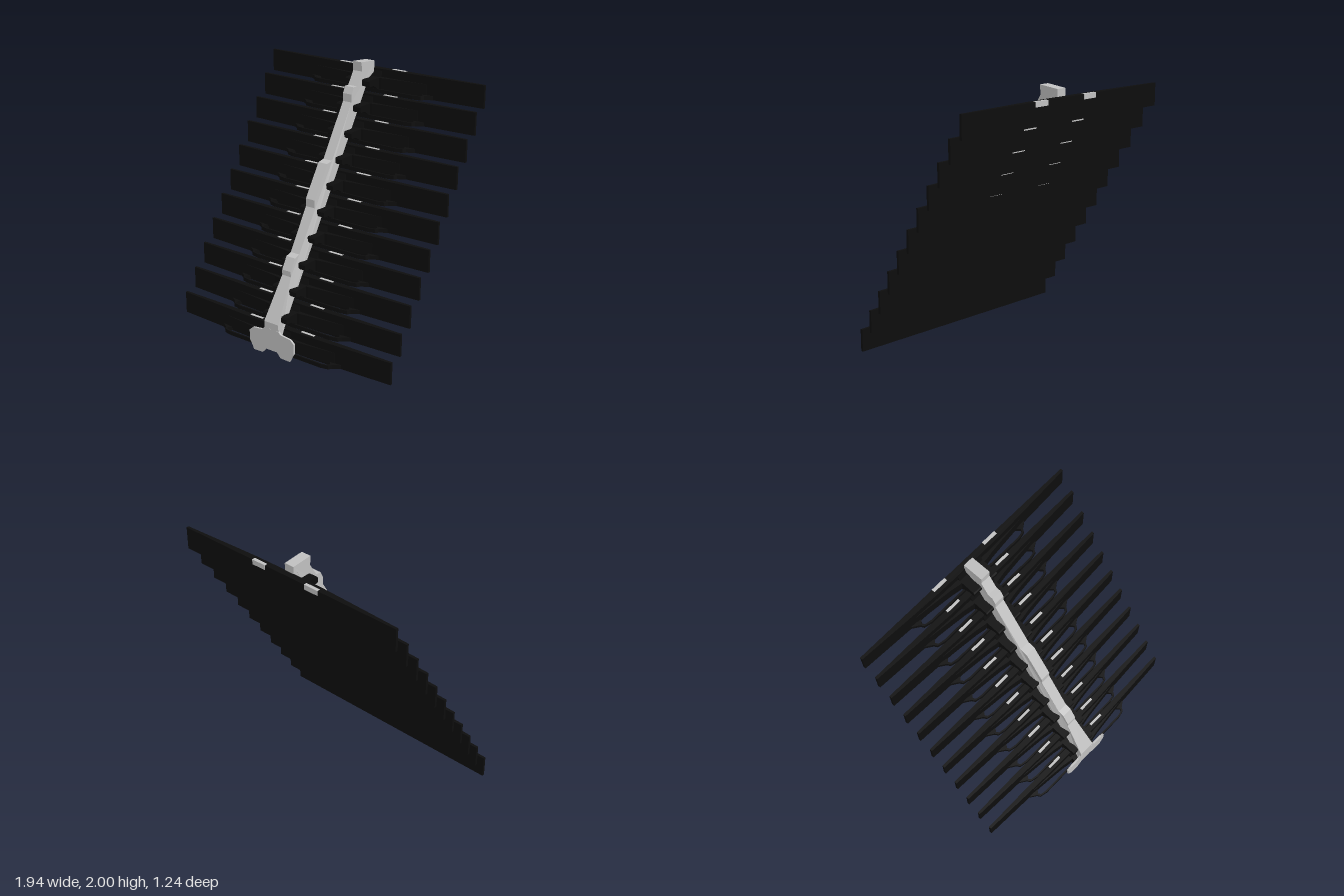
import * as THREE from 'three';

const ROWS = 11, STEP_Y = 0.1732, STEP_Z = -0.11;

export function createModel() {
  const black = new THREE.MeshStandardMaterial({ color: 0x0d0d0d });
  black.name = 'matte black';
  const grey = new THREE.MeshStandardMaterial({ color: 0xc0c0c0 });
  grey.name = 'light grey';

  const model = new THREE.Group();
  const add = (parent, name, geometry, material) => {
    const mesh = new THREE.Mesh(geometry, material);
    mesh.name = name;
    parent.add(mesh);
    return mesh;
  };
  const extrude = (points, depth) => new THREE.ExtrudeGeometry(
    new THREE.Shape(points.map(([a, b]) => new THREE.Vector2(a, b))),
    { depth, bevelEnabled: false });
  // Side outline given as [z, y], extruded across x and centred
  const sideExtrude = (points, width) =>
    extrude(points.map(([z, y]) => [-z, y]), width).translate(0, 0, -width / 2).rotateY(Math.PI / 2);
  // Plan outline given as [x, z], extruded upwards from y0 to y1
  const planExtrude = (points, y0, y1) =>
    extrude(points.map(([x, z]) => [x, -z]), y1 - y0).rotateX(-Math.PI / 2).translate(0, y0, 0);
  const mirrored = (points) => [...points, ...points.map(([x, y]) => [-x, y]).reverse()];

  // Leaning spine with stepped ridges, flared towards the foot
  const spineGeo = sideExtrude([
    [0.62, 0.1], [0.62, 0.26], [0.44, 0.57], [0.44, 0.61], [0.39, 0.7], [0.34, 0.715],
    [0.16, 1.02], [0.16, 1.08], [0.01, 1.32], [-0.05, 1.33], [-0.285, 1.72], [-0.285, 1.78],
    [-0.31, 1.83], [-0.35, 1.83], [-0.41, 1.93], [-0.405, 2], [-0.57, 1.985], [-0.57, 1.9],
    [-0.5, 1.87], [0.328, 0.57], [0.525, 0.26], [0.6, 0.12],
  ], 0.08);
  const p = spineGeo.attributes.position;
  for (let i = 0; i < p.count; i++) {
    const t = THREE.MathUtils.clamp((0.57 - p.getY(i)) / 0.35, 0, 1);
    p.setX(i, p.getX(i) * (1 + 0.72 * t));
  }
  spineGeo.computeVertexNormals();
  add(model, 'spine', spineGeo, grey);

  // Thin foot plate
  const foot = extrude(mirrored([
    [0.05, 0.04], [0.085, 0.003], [0.17, 0], [0.185, 0.035], [0.208, 0.07], [0.208, 0.15],
    [0.175, 0.178], [0.09, 0.187], [0.065, 0.21],
  ]), 0.016).translate(0, 0, 0.605);
  add(model, 'footPlate', foot, grey);

  // Shared geometries of one slat; z = 0 is its back
  const slatGeo = planExtrude(mirrored([
    [0.97, 0], [0.97, 0.02], [0.5, 0.042], [0.3, 0.05], [0.12, 0.052],
  ]), 0, 0.17);
  const wingGeo = planExtrude(mirrored([
    [0.58, 0.01], [0.5, 0.044], [0.3, 0.064], [0.2, 0.075], [0.13, 0.088],
  ]), 0.02, 0.11);
  const clampGeo = sideExtrude([
    [0, 0], [0.11, 0], [0.113, 0.035], [0.155, 0.06], [0.2, 0.06], [0.208, 0.07],
    [0.208, 0.1], [0.2, 0.11], [0.07, 0.11], [0.046, 0.17], [0, 0.17],
  ], 0.22);
  const lowClampGeo = sideExtrude([
    [0, 0], [0.12, 0], [0.12, 0.11], [0.07, 0.11], [0.046, 0.17], [0, 0.17],
  ], 0.22);
  const braceGeo = planExtrude(mirrored([
    [0, 0.114], [0.43, 0.114], [0.49, 0.1], [0.505, 0.075], [0.56, 0.038],
    [0.46, 0.038], [0.488, 0.072], [0.475, 0.093], [0.425, 0.101], [0, 0.101],
  ]).slice(0, 10).concat([
    [-0.425, 0.101], [-0.475, 0.093], [-0.488, 0.072], [-0.46, 0.038], [-0.56, 0.038],
    [-0.505, 0.075], [-0.49, 0.1], [-0.43, 0.114],
  ]), 0, 0.03);
  const tabGeo = new THREE.BoxGeometry(0.12, 0.038, 0.026);

  for (let i = 0; i < ROWS; i++) {
    const row = new THREE.Group();
    row.name = 'slatRow' + (i + 1);
    row.position.set(0, 0.028 + i * STEP_Y, 0.482 + i * STEP_Z);
    add(row, 'slat', slatGeo, black);
    add(row, 'slatRib', wingGeo, black);
    add(row, 'spineClamp', i ? clampGeo : lowClampGeo, black);
    add(row, 'brace', braceGeo, black);
    // Grey tabs wrapping the upper back edge
    for (const s of [-1, 1]) add(row, 'edgeTab', tabGeo, grey).position.set(s * 0.242, 0.153, 0.011);
    model.add(row);
  }
  return model;
}
